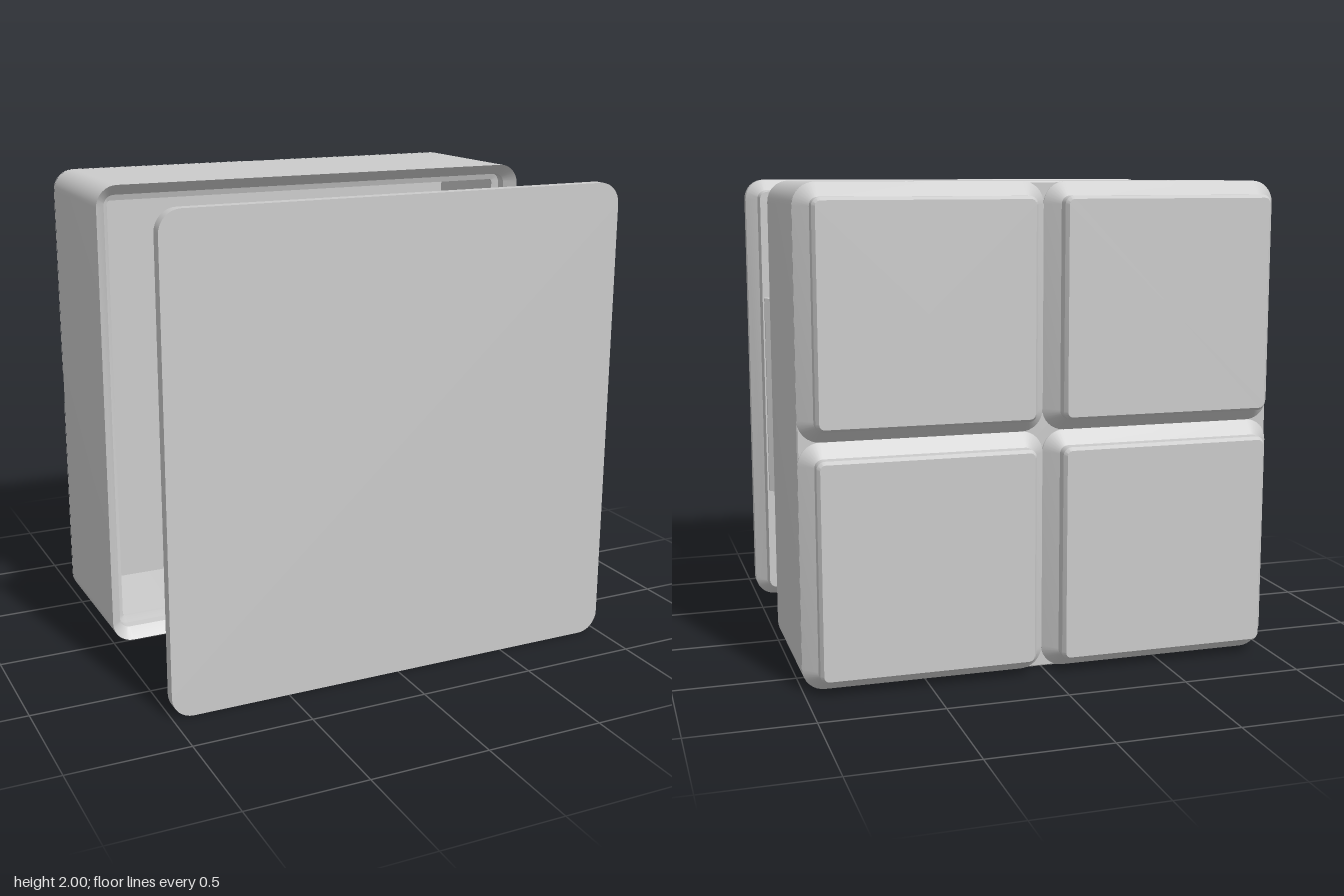
import * as THREE from 'three';
import { toCreasedNormals } from 'three/addons/utils/BufferGeometryUtils.js';

const CORNER = 0.09;
const material = new THREE.MeshStandardMaterial({ color: 0xcccccc });

// Rounded square outline, counter-clockwise seen from +z
function ring(half, radius, z, steps = 8) {
  const points = [];
  for (let c = 0; c < 4; c++) {
    for (let i = 0; i <= steps; i++) {
      const a = (c + i / steps) * Math.PI / 2;
      const sx = c === 0 || c === 3 ? 1 : -1;
      const sy = c < 2 ? 1 : -1;
      points.push([
        sx * (half - radius) + radius * Math.cos(a),
        sy * (half - radius) + radius * Math.sin(a), z]);
    }
  }
  return points;
}

// Sweep a [half size, z] profile around a rounded square; half size 0 closes it
function sweepSquare(profile, outerHalf) {
  const rings = profile.map(([half, z]) =>
    ring(half, half === 0 ? 0 : Math.max(CORNER - (outerHalf - half), 0.008), z));
  const pos = [];
  for (let r = 0; r < rings.length - 1; r++) {
    const a = rings[r], b = rings[r + 1], n = a.length;
    for (let k = 0; k < n; k++) {
      const m = (k + 1) % n;
      if (profile[r][0] > 0) pos.push(...a[k], ...a[m], ...b[m]);
      if (profile[r + 1][0] > 0) pos.push(...a[k], ...b[m], ...b[k]);
    }
  }
  const geo = new THREE.BufferGeometry();
  geo.setAttribute('position', new THREE.Float32BufferAttribute(pos, 3));
  return toCreasedNormals(geo, 0.5);
}

function part(name, geometry, parent) {
  const mesh = new THREE.Mesh(geometry, material);
  mesh.name = name;
  parent.add(mesh);
  return mesh;
}

export function createModel() {
  const model = new THREE.Group();
  model.name = 'boxWithLid';

  // Open box with a chamfered rim and a snap groove inside
  const box = new THREE.Group();
  box.name = 'box';
  part('shell', sweepSquare([
    [0, -0.65], [0.995, -0.65], [1, -0.645], [1, 0], [0.955, -0.045], [0.955, -0.09],
    [0.925, -0.1], [0.925, -0.112], [0.945, -0.132], [0.945, -0.6], [0, -0.6],
  ], 1), box);

  // Four stepped feet on the back
  const footGeometry = sweepSquare([
    [0, -0.772], [0.432, -0.772], [0.444, -0.755], [0.444, -0.71], [0.5, -0.655], [0.5, -0.648],
  ], 0.5);
  for (const x of [-0.5, 0.5]) {
    for (const y of [-0.5, 0.5]) part('foot', footGeometry, box).position.set(x, y, 0);
  }

  // Lid plate with a recessed inner face
  const lid = new THREE.Group();
  lid.name = 'lid';
  part('lidPlate', sweepSquare([
    [0, 0.73], [0.89, 0.73], [0.89, 0.635], [0.945, 0.635], [0.952, 0.675],
    [1, 0.722], [1, 0.772], [0, 0.772],
  ], 1), lid);

  // One snap clip on each side of the lid
  const clipShape = new THREE.Shape([
    [0.89, 0.64], [0.89, 0.542], [0.913, 0.542], [0.944, 0.575], [0.944, 0.59],
    [0.926, 0.604], [0.926, 0.618], [0.94, 0.64],
  ].map(([x, z]) => new THREE.Vector2(x, z)));
  const clipGeometry = new THREE.ExtrudeGeometry(clipShape, { depth: 0.91, bevelEnabled: false });
  clipGeometry.translate(0, 0, -0.455).rotateX(Math.PI / 2);
  for (let i = 0; i < 4; i++) part('snapClip', clipGeometry, lid).rotation.z = i * Math.PI / 2;

  model.add(box, lid);
  box.position.y = lid.position.y = 1;
  return model;
}
